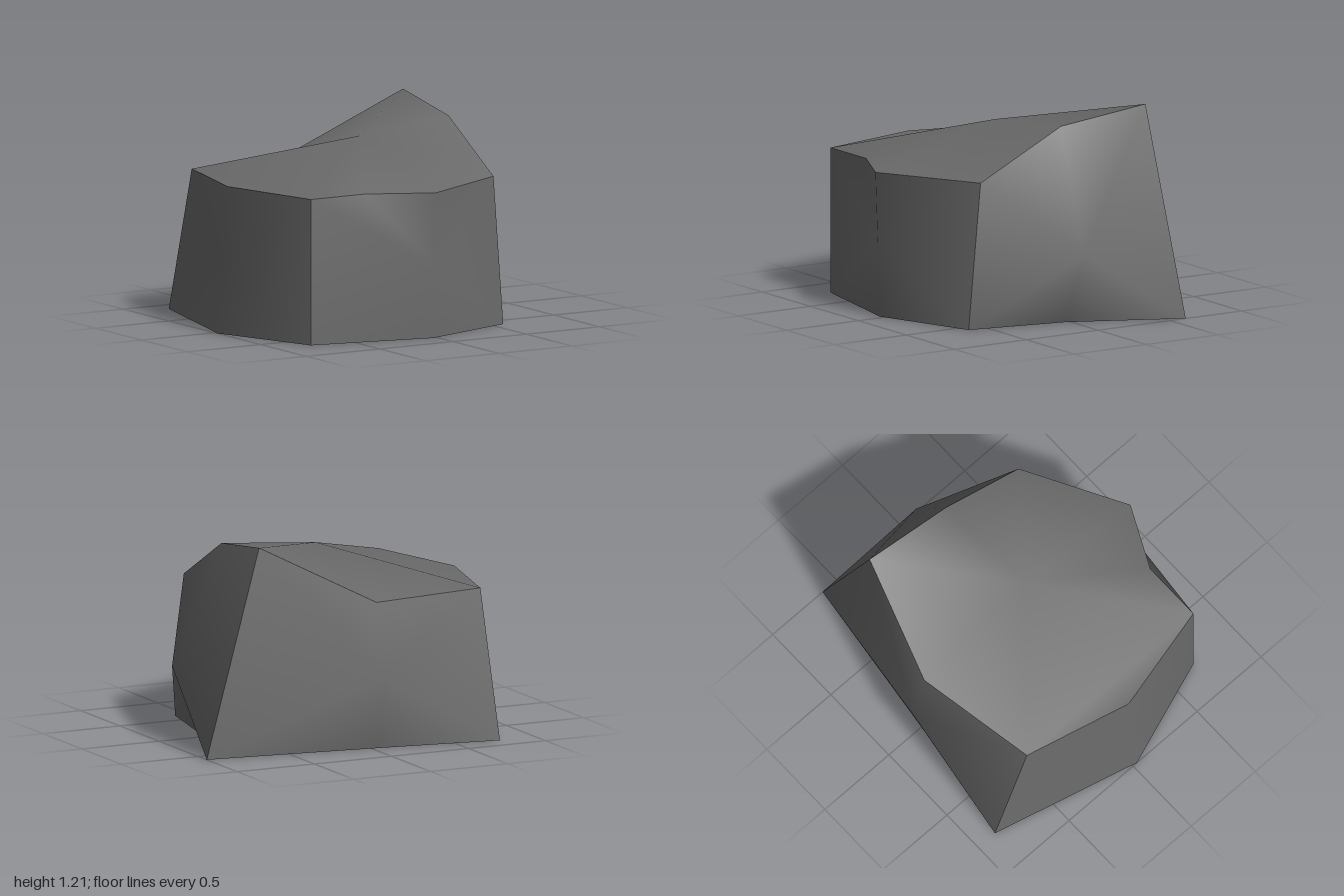
import * as THREE from 'three';

const stone = new THREE.MeshStandardMaterial({ color: 0x6a6a6a });
stone.name = 'grey stone';

// Corners and edge middles of the boulder, named by compass (north is the back)
const base = {
  nw: [-0.77, 0, -0.87], n: [-0.03, 0, -0.75], ne: [1, 0, -0.61], e: [0.7, 0, 0.03],
  se: [0.58, 0, 0.62], s: [-0.03, 0, 0.83], sw: [-0.77, 0, 0.68], w: [-1, 0, 0.03],
};
const rim = {
  nw: [-0.77, 0.855, -0.62], n: [-0.03, 0.86, -0.75], ne: [0.64, 1.21, -0.57], e: [0.6, 1.135, -0.01],
  se: [0.57, 0.855, 0.53], s: [-0.03, 0.855, 0.86], notch: [-0.4, 0.855, 0.68],
  sw: [-0.77, 0.855, 0.68], w: [-0.93, 0.855, 0.03],
};

// A smooth-shaded side: a fan from its centre to a ring that runs counter-clockwise seen from outside
function side(name, centre, ring, flaps = []) {
  const points = [centre, ...ring];
  const index = [];
  ring.forEach((_, i) => index.push(0, i + 1, ((i + 1) % ring.length) + 1));
  // Flaps are extra triangles outside the fan: ring corner, new point, ring corner
  for (const [from, point, to] of flaps) {
    index.push(points.indexOf(from), points.length, points.indexOf(to));
    points.push(point);
  }
  const geometry = new THREE.BufferGeometry();
  geometry.setAttribute('position', new THREE.Float32BufferAttribute(points.flat(), 3));
  geometry.setIndex(index);
  geometry.computeVertexNormals();
  const mesh = new THREE.Mesh(geometry, stone);
  mesh.name = name;
  return mesh;
}

// A wall between two corners, with a bulge point in its middle
function wall(name, bulge, a, mid, b, extra = []) {
  return side(name, bulge, [base[a], base[mid], base[b], rim[b], rim[mid], ...extra, rim[a]]);
}

export function createModel() {
  const rock = new THREE.Group();
  rock.name = 'boulder';
  rock.add(
    wall('frontWall', [-0.03, 0.43, 0.845], 'sw', 's', 'se', [rim.notch]),
    wall('eastWall', [0.9, 0.43, 0.03], 'se', 'e', 'ne'),
    wall('backWall', [-0.03, 0.43, -0.835], 'ne', 'n', 'nw'),
    wall('westWall', [-0.965, 0.43, 0.03], 'nw', 'w', 'sw'),
    // Sloping top with a level ledge on its west side
    side('top', [-0.03, 1.075, 0.03],
      [rim.ne, rim.n, rim.nw, rim.sw, rim.notch, rim.s, rim.se, rim.e],
      [[rim.nw, rim.w, rim.sw]]),
    side('underside', [-0.03, 0, 0.03], Object.values(base)),
  );
  return rock;
}
